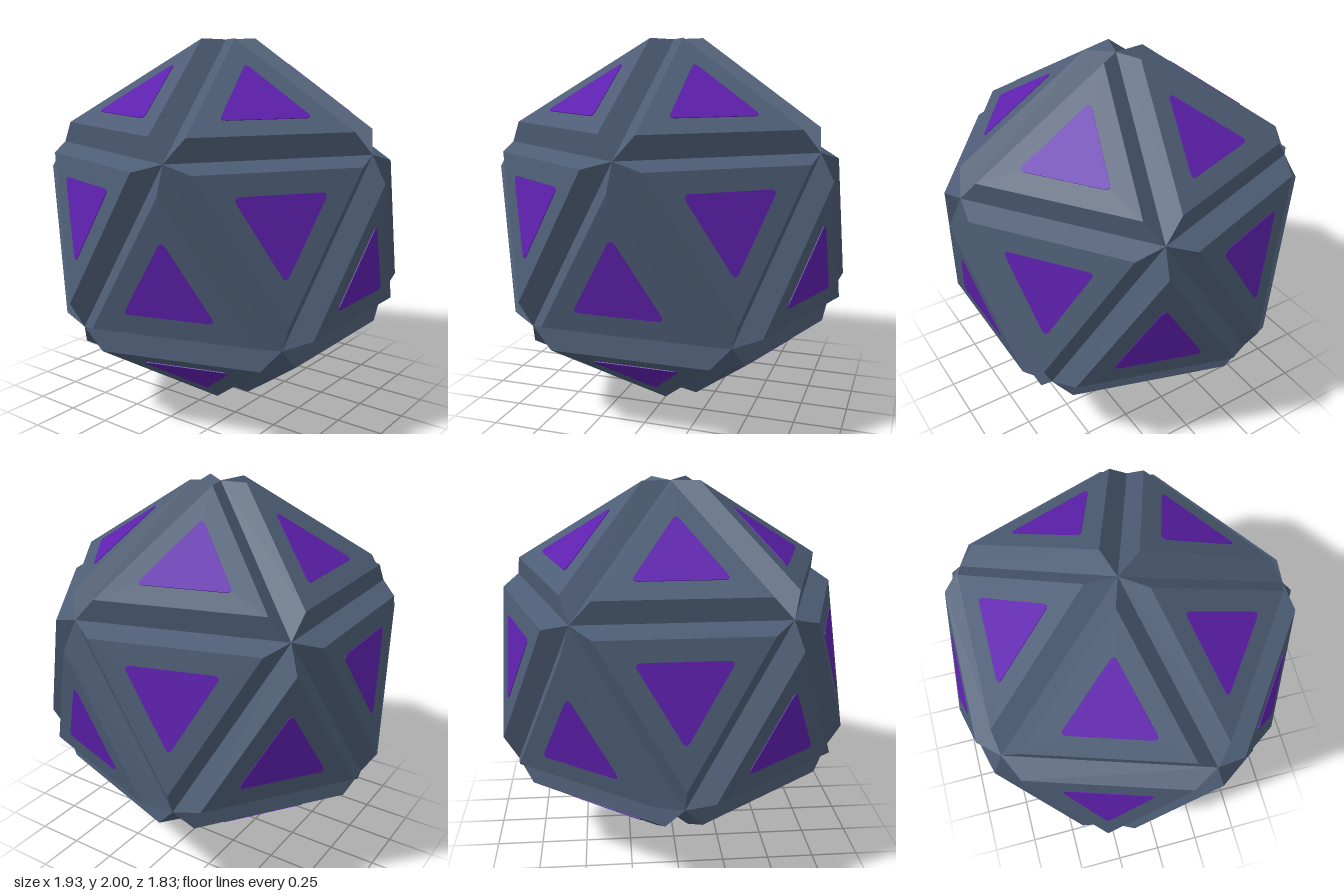
import * as THREE from 'three';

const RADIUS = 0.994;              // icosahedron circumradius
const RAISE = 0.1 * RADIUS;        // how far each panel stands out
const INSET = 0.8;                 // raised face size against its base
const GEM = 0.272;                 // inlay triangle circumradius

// Twelve corners: a pole, two staggered rings of five, a pole
function ring(y, offset) {
  return Array.from({ length: 5 }, (_, k) => {
    const a = (k + offset) * Math.PI * 0.4;
    const r = 2 / Math.sqrt(5);
    return new THREE.Vector3(Math.cos(a) * r, y, -Math.sin(a) * r).multiplyScalar(RADIUS);
  });
}

// The twenty triangles, five of each kind
function triangles() {
  const top = new THREE.Vector3(0, RADIUS, 0);
  const bottom = top.clone().negate();
  const up = ring(1 / Math.sqrt(5), 0);
  const low = ring(-1 / Math.sqrt(5), 0.5);
  const list = [];
  for (let k = 0; k < 5; k++) {
    const n = (k + 1) % 5;
    list.push([top, up[k], up[n]], [up[k], low[k], up[n]],
      [up[n], low[k], low[n]], [bottom, low[n], low[k]]);
  }
  return list;
}

// Bevelled three-sided panel, base at y = 0, one corner towards +z
function panelGeometry(circumradius) {
  const geo = new THREE.CylinderGeometry(circumradius * INSET, circumradius, RAISE, 3)
    .translate(0, RAISE / 2, 0).toNonIndexed();
  geo.computeVertexNormals();
  return geo;
}

// Thin triangle with softened corners, lying flat on the panel
function inlayGeometry() {
  const corner = [0, 1, 2].map((k) => {
    const a = -Math.PI / 2 + k * Math.PI * 2 / 3;
    return new THREE.Vector2(Math.cos(a), Math.sin(a)).multiplyScalar(GEM);
  });
  const shape = new THREE.Shape();
  corner.forEach((c, k) => {
    const before = c.clone().lerp(corner[(k + 2) % 3], 0.08);
    const after = c.clone().lerp(corner[(k + 1) % 3], 0.08);
    if (k === 0) shape.moveTo(before.x, before.y);
    else shape.lineTo(before.x, before.y);
    shape.quadraticCurveTo(c.x, c.y, after.x, after.y);
  });
  shape.closePath();
  return new THREE.ExtrudeGeometry(shape, { depth: 0.004, bevelEnabled: false, curveSegments: 5 })
    .rotateX(-Math.PI / 2).translate(0, RAISE, 0);
}

export function createModel() {
  const slate = new THREE.MeshStandardMaterial({ name: 'slate', color: 0x4d5d75 });
  const purple = new THREE.MeshStandardMaterial({ name: 'purple', color: 0x5e20ad });
  const model = new THREE.Group();
  model.name = 'panelledIcosahedron';

  const faces = triangles();
  const centre = ([a, b, c]) => a.clone().add(b).add(c).divideScalar(3);
  const panelGeo = panelGeometry(faces[0][0].distanceTo(centre(faces[0])));
  const inlayGeo = inlayGeometry();

  // One panel and inlay on every face, y outwards and z towards a corner
  faces.forEach((face, i) => {
    const mid = centre(face);
    const y = mid.clone().normalize();
    const z = face[0].clone().sub(mid).normalize();
    const x = y.clone().cross(z);
    const group = new THREE.Group();
    group.name = `face${i + 1}`;
    group.quaternion.setFromRotationMatrix(new THREE.Matrix4().makeBasis(x, y, z));
    group.position.copy(mid).setY(mid.y + 1);

    const panel = new THREE.Mesh(panelGeo, slate);
    panel.name = 'bevelledPanel';
    const inlay = new THREE.Mesh(inlayGeo, purple);
    inlay.name = 'triangleInlay';
    group.add(panel, inlay);
    model.add(group);
  });
  return model;
}
